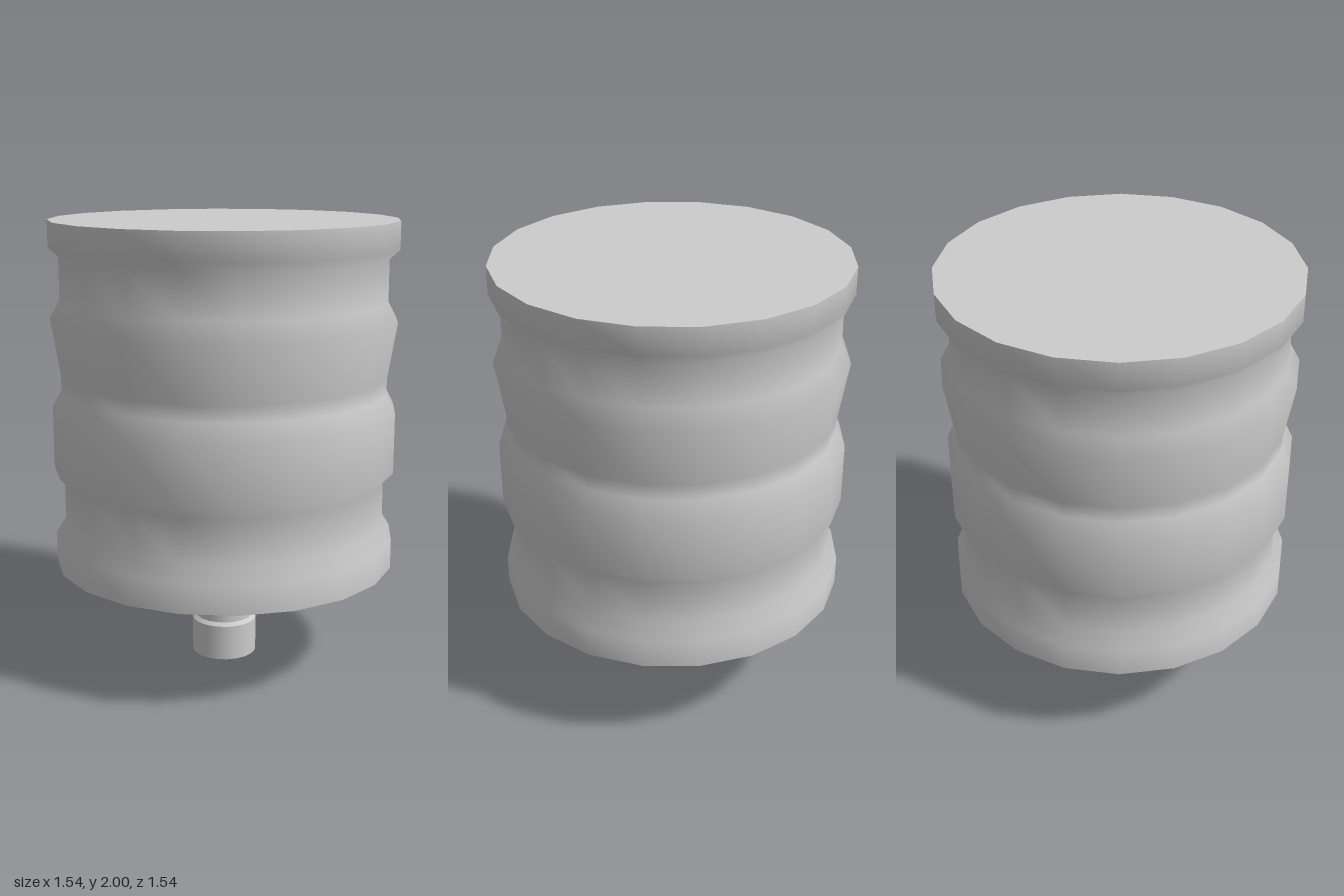
import * as THREE from 'three';

const SIDES = 20;
const material = new THREE.MeshStandardMaterial({ color: 0xcccccc });
const flatMaterial = new THREE.MeshStandardMaterial({ color: 0xcccccc, flatShading: true });

// Revolve a profile of [radius, height] pairs, listed from bottom to top
function turned(name, profile, mat = material) {
  const points = profile.map(([r, y]) => new THREE.Vector2(r, y));
  const mesh = new THREE.Mesh(new THREE.LatheGeometry(points, SIDES), mat);
  mesh.name = name;
  return mesh;
}

export function createModel() {
  const group = new THREE.Group();
  group.name = 'groovedKnob';

  // Grooved wall of the drum, with two narrow grooves and a tapered waist
  group.add(turned('drumWall', [
    [0.768, 0.46], [0.768, 0.59], [0.724, 0.66], [0.724, 0.855],
    [0.768, 0.9], [0.768, 1.175], [0.728, 1.25], [0.728, 1.32],
    [0.768, 1.57], [0.724, 1.65], [0.724, 1.84], [0.768, 1.88], [0.768, 2],
  ]));

  // Flat top
  group.add(turned('drumTop', [[0.768, 2], [0, 2]], flatMaterial));

  // Faceted bevel and shallow cone underneath
  group.add(turned('bottomBevel', [[0.69, 0.435], [0.768, 0.46]], flatMaterial));
  group.add(turned('bottomCone', [[0.12, 0.365], [0.69, 0.435]]));

  // Stem with a wider foot
  group.add(turned('stem', [[0.13, 0.175], [0.13, 0.367]]));
  group.add(turned('footShoulder', [[0.147, 0.16], [0.13, 0.175]]));
  group.add(turned('foot', [[0.147, 0], [0.147, 0.16]]));
  group.add(turned('footBase', [[0, 0], [0.147, 0]], flatMaterial));

  return group;
}
